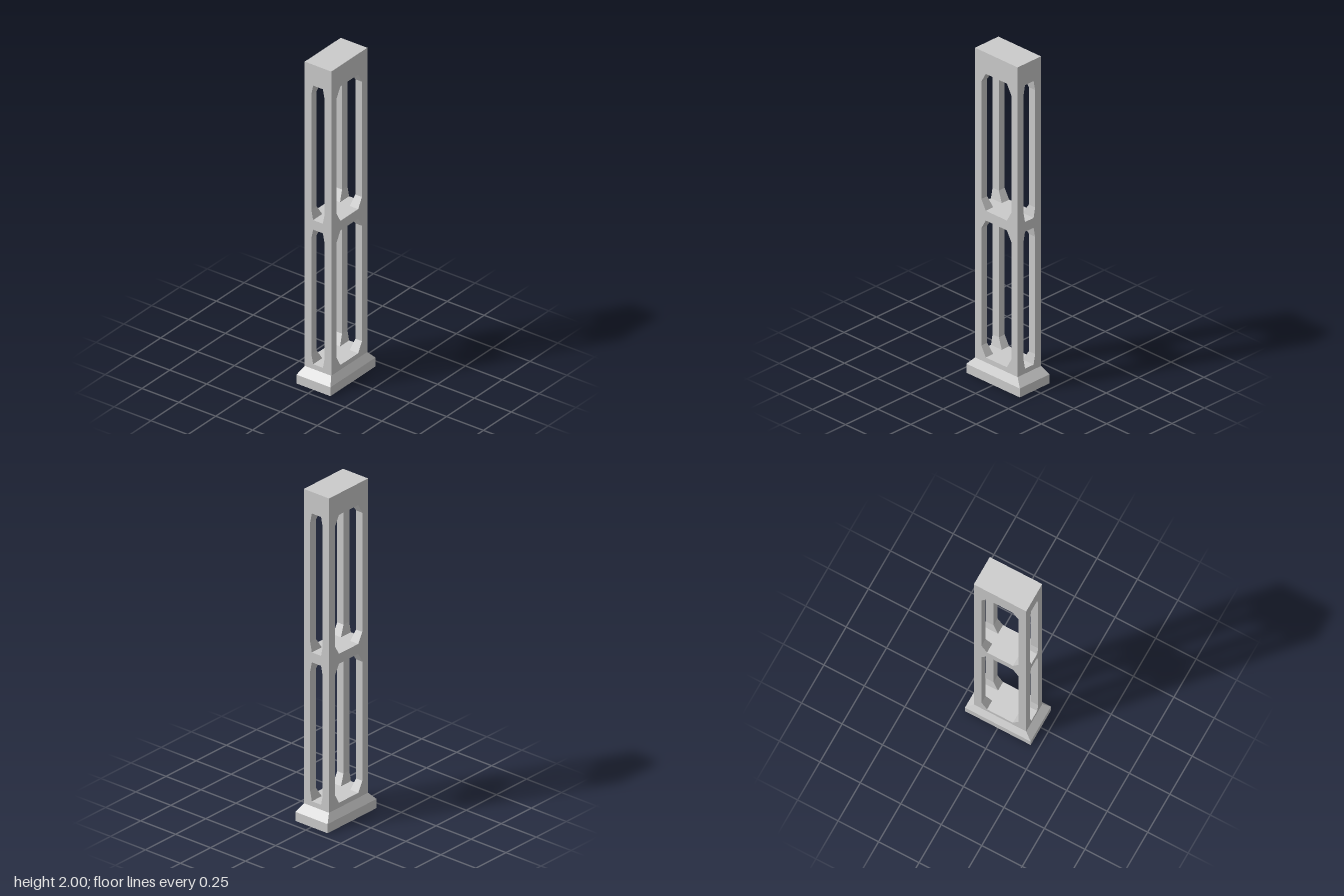
import * as THREE from 'three';

const HX = 0.09, HZ = 0.162; // half width and half depth of the tower

// Flat-faced loft through rectangles [x0, x1, z0, z1, y], listed from bottom to top
function loft(rings, capBottom = true) {
  const pos = [];
  const corners = ([x0, x1, z0, z1, y]) => [[x0, y, z1], [x1, y, z1], [x1, y, z0], [x0, y, z0]];
  const quad = (a, b, c, d) => pos.push(...a, ...b, ...c, ...a, ...c, ...d);
  const loops = rings.map(corners);
  for (let i = 0; i < loops.length - 1; i++) {
    const lo = loops[i], hi = loops[i + 1];
    for (let k = 0; k < 4; k++) {
      const n = (k + 1) % 4;
      quad(lo[k], lo[n], hi[n], hi[k]);
    }
  }
  quad(...loops[loops.length - 1]);
  if (capBottom) quad(...loops[0].slice().reverse());
  const g = new THREE.BufferGeometry();
  g.setAttribute('position', new THREE.Float32BufferAttribute(pos, 3));
  g.computeVertexNormals();
  return g;
}

export function createModel() {
  const model = new THREE.Group();
  model.name = 'frameTower';
  const grey = new THREE.MeshStandardMaterial({ color: 0xcccccc, flatShading: true });
  const shell = new THREE.MeshStandardMaterial({ color: 0xcccccc, flatShading: true, side: THREE.DoubleSide });

  const add = (name, geometry, material = grey) => {
    const mesh = new THREE.Mesh(geometry, material);
    mesh.name = name;
    model.add(mesh);
  };
  const rect = (hx, hz, y) => [-hx, hx, -hz, hz, y];

  // Hollow flared foot, open underneath
  add('foot', loft([rect(0.115, 0.203, 0), rect(0.115, 0.203, 0.055), rect(HX, HZ, 0.1)], false), shell);

  // Solid slabs below, between and above the windows
  const slabs = { bottomSlab: [0.1, 0.13], middleSlab: [0.97, 1.03], topSlab: [1.87, 2] };
  for (const [name, [y0, y1]] of Object.entries(slabs)) {
    add(name, loft([rect(HX, HZ, y0), rect(HX, HZ, y1)]));
  }

  // Corner posts, widening at both ends to chamfer the window corners
  for (const [tier, y0, y1] of [['lower', 0.13, 0.97], ['upper', 1.03, 1.87]]) {
    const levels = [[y0, 0.033, 0.08], [y0 + 0.06, 0.045, 0.114], [y1 - 0.06, 0.045, 0.114], [y1, 0.033, 0.08]];
    for (const sx of [-1, 1]) {
      for (const sz of [-1, 1]) {
        const rings = levels.map(([y, wx, wz]) => [
          sx > 0 ? wx : -HX, sx > 0 ? HX : -wx,
          sz > 0 ? wz : -HZ, sz > 0 ? HZ : -wz, y,
        ]);
        add(`${tier}${sz > 0 ? 'Front' : 'Back'}${sx > 0 ? 'Left' : 'Right'}Post`, loft(rings, true));
      }
    }
  }
  return model;
}
